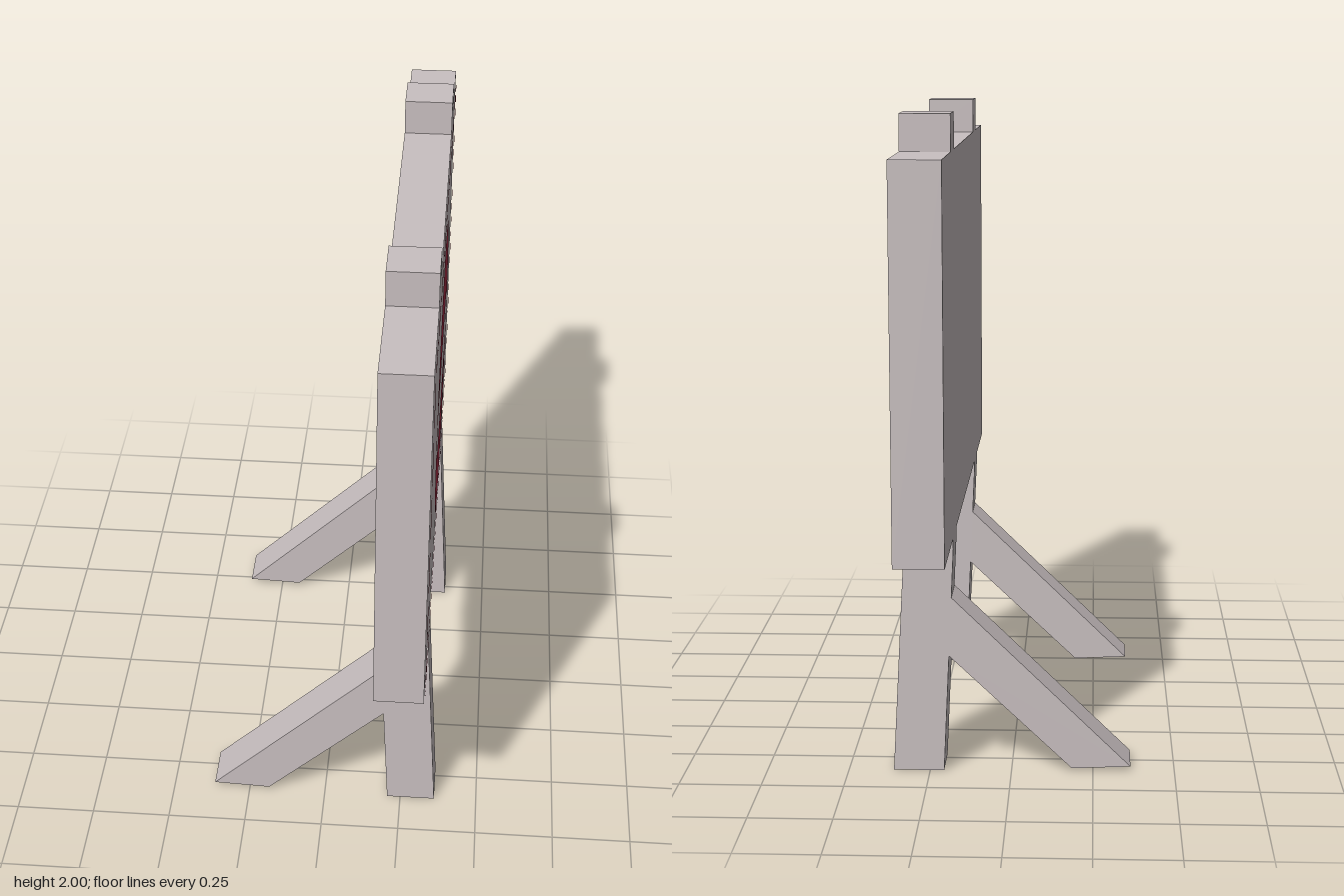
import * as THREE from 'three';

export function createModel() {
  const group = new THREE.Group();
  const paleGrey = new THREE.MeshStandardMaterial({ color: 0xc9c0c1 });
  const signRed = new THREE.MeshStandardMaterial({ color: 0xa22c43 });

  const add = (name, geometry, material, x = 0, y = 0, z = 0) => {
    const mesh = new THREE.Mesh(geometry, material);
    mesh.name = name;
    mesh.position.set(x, y, z);
    group.add(mesh);
  };
  const polygon = (points) => new THREE.Shape(points.map(([x, y]) => new THREE.Vector2(x, y)));

  // Board
  const bottom = 0.735, top = 1.89, frontX = 0.325, midX = 0.25;
  add('board', new THREE.BoxGeometry(0.15, top - bottom, 1.9), paleGrey, midX, (top + bottom) / 2, 0);

  // Posts with splayed legs, rear braces and stubs above the board
  const depth = 0.142;
  const beam = (points) => new THREE.ExtrudeGeometry(polygon(points), { depth, bevelEnabled: false })
    .translate(0, 0, -depth / 2);
  for (const [side, z] of [['left', 0.536], ['right', -0.536]]) {
    add(side + 'Leg', beam([[0.207, 0], [0.362, 0], [0.325, 0.70], [0.325, bottom], [0.175, bottom], [0.175, 0.70]]), paleGrey, 0, 0, z);
    add(side + 'Brace', beam([[-0.365, 0.02], [-0.185, 0.012], [0.191, 0.368], [0.183, 0.552]]), paleGrey, 0, 0, z);
    add(side + 'PostTop', new THREE.BoxGeometry(0.15, 2 - top, depth), paleGrey, midX, (2 + top) / 2, z);
  }

  // Painted faces: drawn in (u, y) with u = -z, then turned to face +x
  const paint = (name, shapes) =>
    add(name, new THREE.ShapeGeometry(shapes, 48).rotateY(Math.PI / 2), signRed, frontX + 0.003, 0, 0);

  // Red disc with a rounded bar left open
  const disc = new THREE.Shape();
  disc.absellipse(0, 1.305, 0.476, 0.46, 0, Math.PI * 2, false);
  const bar = new THREE.Path();
  const r = 0.093, barY = 1.29, barU = 0.415 - r;
  bar.absarc(barU, barY, r, -Math.PI / 2, Math.PI / 2, false);
  bar.absarc(-barU, barY, r, Math.PI / 2, Math.PI * 1.5, false);
  bar.closePath();
  disc.holes.push(bar);
  paint('disc', disc);

  // Slanted border blocks: along the top and bottom edges
  const topBlocks = [polygon([[-0.855, 1.832], [-0.80, 1.832], [-0.742, 1.888], [-0.90, 1.888]])];
  for (let i = 0; i < 7; i++) {
    const u = -0.744 + i * 0.231;
    topBlocks.push(polygon([[u, 1.832], [u + 0.175, 1.832], [u + 0.233, 1.888], [u + 0.058, 1.888]]));
  }
  paint('topBorder', topBlocks);

  const bottomBlocks = [polygon([[-0.935, 0.737], [-0.69, 0.737], [-0.635, 0.788], [-0.88, 0.788]])];
  for (let i = 0; i < 6; i++) {
    const u = -0.655 + i * 0.231;
    bottomBlocks.push(polygon([[u, 0.737], [u + 0.195, 0.737], [u + 0.25, 0.788], [u + 0.055, 0.788]]));
  }
  bottomBlocks.push(polygon([[0.735, 0.737], [0.93, 0.737], [0.88, 0.788], [0.79, 0.788]]));
  paint('bottomBorder', bottomBlocks);

  // Blocks along the two upright edges
  const upright = (u0, u1, y, first, count) => {
    const blocks = [];
    for (let i = first; i < count; i++) {
      const t = y - i * 0.191;
      blocks.push(polygon([[u0, t - 0.145], [u1, t - 0.19], [u1, t - 0.045], [u0, t]]));
    }
    return blocks;
  };
  paint('leftBorder', [
    ...upright(-0.948, -0.876, 1.865, 0, 5),
    polygon([[-0.948, 0.765], [-0.876, 0.805], [-0.876, 0.865], [-0.948, 0.91]]),
  ]);
  paint('rightBorder', [
    polygon([[0.884, 1.735], [0.948, 1.695], [0.948, 1.875], [0.884, 1.835]]),
    ...upright(0.884, 0.948, 1.69, 0, 4),
    polygon([[0.884, 0.83], [0.948, 0.775], [0.948, 0.88], [0.884, 0.925]]),
  ]);

  return group;
}
